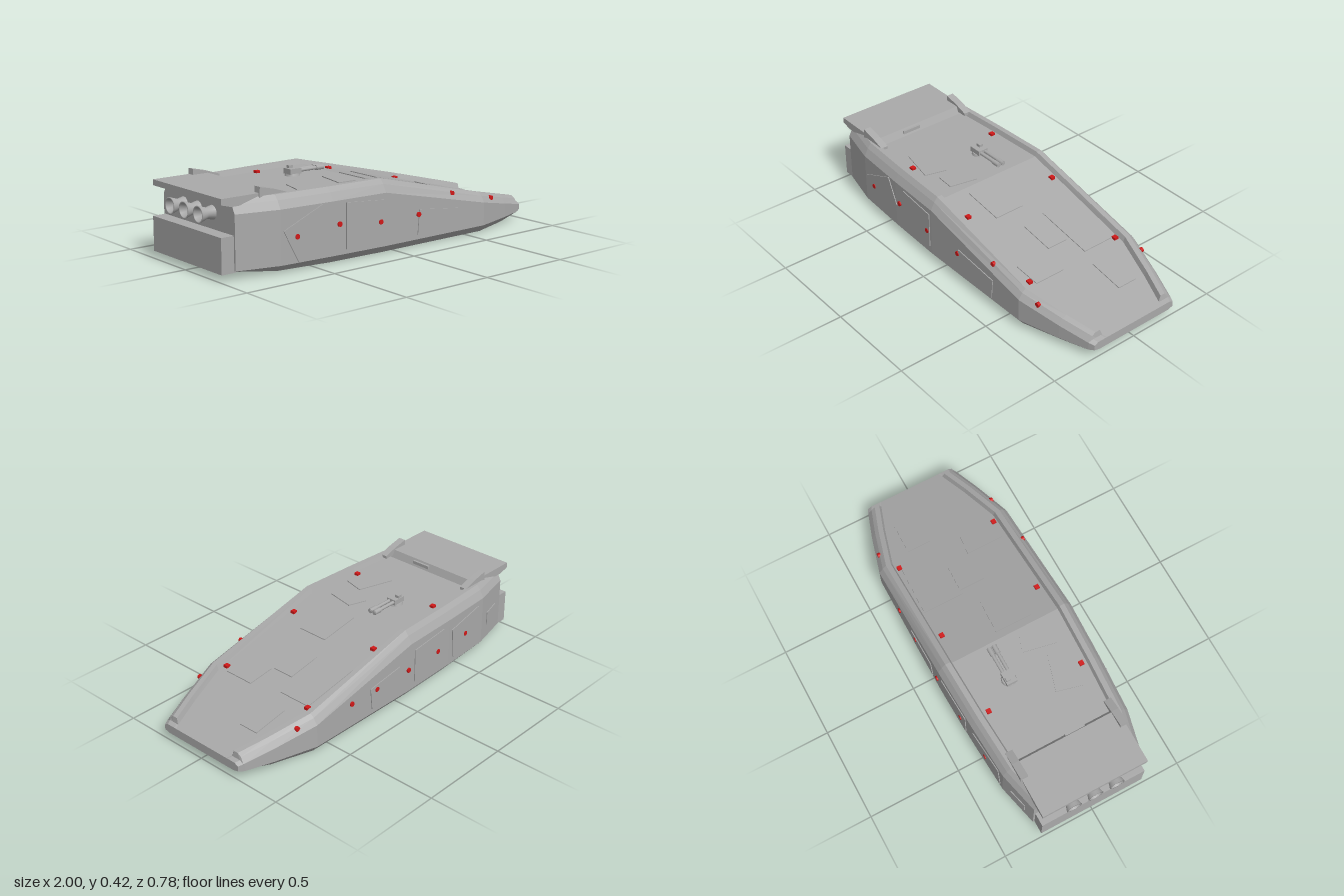
import * as THREE from 'three';

// Hull stations: x, half width, bottom height
const STATIONS = [
  [-0.92, 0.3, 0.035], [-0.7, 0.352, 0.012], [-0.4, 0.37, 0.006],
  [-0.08, 0.382, 0.006], [0.6, 0.38, 0.006], [0.82, 0.318, 0.012],
  [0.97, 0.268, 0.035], [0.975, 0.266, 0.036], [1, 0.255, 0.043],
];
const WIDTH = 1, BOTTOM = 2;

// Interpolated half width or bottom at x
function hullAt(x, k) {
  let i = 0;
  while (i < STATIONS.length - 2 && x > STATIONS[i + 1][0]) i++;
  const a = STATIONS[i], b = STATIONS[i + 1];
  return THREE.MathUtils.lerp(a[k], b[k], (x - a[0]) / (b[0] - a[0]));
}

// Upper surfaces are level aft and slope down to the nose
const slope = (level, rate) => (x) => level - rate * Math.max(0, x + 0.08);
const wallTop = slope(0.31, 0.215), railTop = slope(0.375, 0.238), deckTop = slope(0.35, 0.243);

// Lofted hull with chamfered sides and raised rails around a sunken deck
function hullGeometry() {
  const rings = STATIONS.map(([x, w, b]) => {
    const s = wallTop(x), d = deckTop(x);
    const r = x > 0.97 ? d + 0.002 : railTop(x); // rails stop short of the nose
    const half = [[w - 0.03, b], [w, Math.max(0.042, b + 0.008)], [w, s],
      [w - 0.022, Math.min(r, (s + r) / 2 + 0.008)], [w - 0.043, r], [w - 0.07, r], [w - 0.08, d]];
    const ring = half.map(([z, y]) => [x, y, z]);
    return ring.concat(half.slice().reverse().map(([z, y]) => [x, y, -z]));
  });
  const out = [];
  const quad = (a, b, c, d) => out.push(...a, ...b, ...c, ...a, ...c, ...d);
  const n = rings[0].length;
  for (let i = 0; i < rings.length - 1; i++) {
    for (let j = 0; j < n; j++) {
      const k = (j + 1) % n;
      quad(rings[i][j], rings[i + 1][j], rings[i + 1][k], rings[i][k]);
    }
  }
  // end caps
  const nose = rings[rings.length - 1], tail = rings[0];
  for (let j = 0; j < 5; j++) {
    quad(nose[j], nose[n - 1 - j], nose[n - 2 - j], nose[j + 1]);
    quad(tail[j], tail[j + 1], tail[n - 2 - j], tail[n - 1 - j]);
  }
  const g = new THREE.BufferGeometry();
  g.setAttribute('position', new THREE.Float32BufferAttribute(out, 3));
  g.computeVertexNormals();
  return g;
}

// Surface maps: (a, b, height) to a point on the hull
const onDeck = (a, b, h) => [a, deckTop(a) + h, b];
const onLeft = (a, b, h) => [a, b, hullAt(a, WIDTH) + h];
const onRight = (a, b, h) => [a, b, -hullAt(a, WIDTH) - h];
const onBelly = (a, b, h) => [a, hullAt(a, BOTTOM) - h, b];

// Thin tapered armour plate, turned by an angle, that follows a hull surface
function plateGeometry([a, b, length, breadth, angle], map) {
  const side = map === onDeck || map === onRight ? -1 : 1; // keeps faces outward
  const corners = [[-1, -1], [1, -0.85], [1, 0.85], [-1, 1]].map(([u, v]) => {
    const p = new THREE.Vector2(u * length / 2, v * breadth / 2).rotateAround(new THREE.Vector2(), angle);
    return new THREE.Vector2(side * (a + p.x), b + p.y);
  });
  const g = new THREE.ExtrudeGeometry(new THREE.Shape(corners), { depth: 0.0045, bevelEnabled: false });
  const p = g.attributes.position;
  for (let i = 0; i < p.count; i++) p.setXYZ(i, ...map(side * p.getX(i), p.getY(i), p.getZ(i)));
  g.computeVertexNormals();
  return g;
}

export function createModel() {
  const model = new THREE.Group();
  const grey = new THREE.MeshStandardMaterial({ color: 0xa9a9a9 });
  grey.name = 'hull grey';
  const red = new THREE.MeshStandardMaterial({ color: 0xd01818 });
  red.name = 'signal red';

  const add = (name, geometry, material = grey, parent = model) => {
    const m = new THREE.Mesh(geometry, material);
    m.name = name;
    parent.add(m);
    return m;
  };
  const box = (name, size, position, parent = model) =>
    add(name, new THREE.BoxGeometry(...size), grey, parent).position.set(...position);
  // side profile in x and y, extruded across z
  const profile = (name, pts, z, breadth) => {
    const shape = new THREE.Shape(pts.map(([x, y]) => new THREE.Vector2(x, y)));
    const g = new THREE.ExtrudeGeometry(shape, { depth: breadth, bevelEnabled: false });
    add(name, g.translate(0, 0, z - breadth / 2));
  };

  add('hull', hullGeometry());

  // Raised aft deck with sloped bulkhead and rear overhang
  profile('aftDeck', [[-0.985, 0.36], [-0.93, 0.345], [-0.67, 0.345], [-0.69, 0.389], [-0.985, 0.389]], 0, 0.58);
  box('bulkheadSlot', [0.016, 0.017, 0.107], [-0.682, 0.371, 0.058]);
  box('sternBlock', [0.08, 0.175, 0.58], [-0.95, 0.122, 0]);

  // Rail horns beside the bulkhead
  for (const z of [-0.277, 0.277]) {
    profile('railHorn', [[-0.78, 0.36], [-0.62, 0.36], [-0.62, 0.375], [-0.69, 0.398], [-0.775, 0.418]], z, 0.04);
  }

  // Three engine nozzles
  const nozzle = [[0.036, 0], [0.027, 0.04], [0.042, 0.085], [0.035, 0.085], [0.02, 0.045], [0, 0.045]]
    .map(([r, y]) => new THREE.Vector2(r, y));
  for (const z of [-0.12, 0, 0.12]) {
    const g = new THREE.LatheGeometry(nozzle, 20).rotateZ(Math.PI / 2);
    add('engineNozzle', g).position.set(-0.915, 0.29, z);
  }

  // Twin-barrel deck turret
  const turret = new THREE.Group();
  turret.name = 'turret';
  model.add(turret);
  add('turretBase', new THREE.CylinderGeometry(0.036, 0.04, 0.012, 12), grey, turret).position.set(-0.29, 0.356, -0.095);
  box('turretBody', [0.07, 0.028, 0.056], [-0.29, 0.374, -0.094], turret);
  box('turretSight', [0.025, 0.014, 0.023], [-0.298, 0.395, -0.106], turret);
  for (const z of [-0.108, -0.08]) {
    for (const [r, x, length] of [[0.009, -0.18, 0.15], [0.013, -0.13, 0.045]]) {
      const g = new THREE.CylinderGeometry(r, r, length, 12).rotateZ(Math.PI / 2);
      add('turretBarrel', g, grey, turret).position.set(x, 0.374, z);
    }
  }

  // Armour plates: centre, length, breadth, angle
  const plates = (name, map, list) => list.forEach((p) => add(name, plateGeometry(p, map)));
  plates('deckPlate', onDeck, [
    [-0.38, 0.17, 0.2, 0.14, 0.25], [-0.17, 0.13, 0.1, 0.18, 0.2], [0.06, 0.07, 0.2, 0.2, 0],
    [0.36, 0, 0.17, 0.14, 0], [0.4, -0.18, 0.3, 0.22, 0], [0.52, 0.17, 0.13, 0.2, 0],
    [0.72, -0.13, 0.18, 0.13, 0],
  ]);
  plates('leftPlate', onLeft, [
    [-0.535, 0.182, 0.245, 0.18, 0.48], [-0.21, 0.18, 0.23, 0.23, 0], [0.27, 0.12, 0.27, 0.13, -0.08],
  ]);
  plates('rightPlate', onRight, [
    [-0.81, 0.155, 0.1, 0.09, 0], [-0.55, 0.17, 0.24, 0.2, -0.1], [-0.23, 0.17, 0.24, 0.22, 0],
    [0.11, 0.14, 0.22, 0.14, -0.1],
  ]);
  plates('bellyPlate', onBelly, [
    [-0.52, -0.1, 0.18, 0.24, 0.1], [-0.2, -0.1, 0.27, 0.26, 0.1], [0.14, 0.04, 0.22, 0.24, 0],
    [0.43, -0.16, 0.24, 0.21, 0.1],
  ]);

  // Red signal lights on the deck
  for (const [x, z] of [[-0.39, 0.262], [0.085, 0.275], [0.56, 0.28]]) {
    for (const s of [-1, 1]) {
      add('deckLight', new THREE.BoxGeometry(0.024, 0.016, 0.024), red).position.set(x, deckTop(x) + 0.004, s * z);
    }
  }
  // Red signal lights along the flanks
  const flankLight = (x, y, side, inset = 0) => {
    const g = new THREE.CylinderGeometry(0.013, 0.013, 0.016, 10).rotateX(Math.PI / 2);
    add('flankLight', g, red).position.set(x, y, side * (hullAt(x, WIDTH) - inset));
  };
  for (const x of [-0.61, -0.115, 0.135]) flankLight(x, 0.17, 1);
  flankLight(-0.365, 0.195, 1);
  flankLight(0.385, 0.24, 1, 0.022);
  for (const x of [-0.54, -0.3, -0.06, 0.18, 0.36]) flankLight(x, 0.17, -1);
  for (const side of [-1, 1]) flankLight(0.69, 0.17, side, 0.018);

  return model;
}
